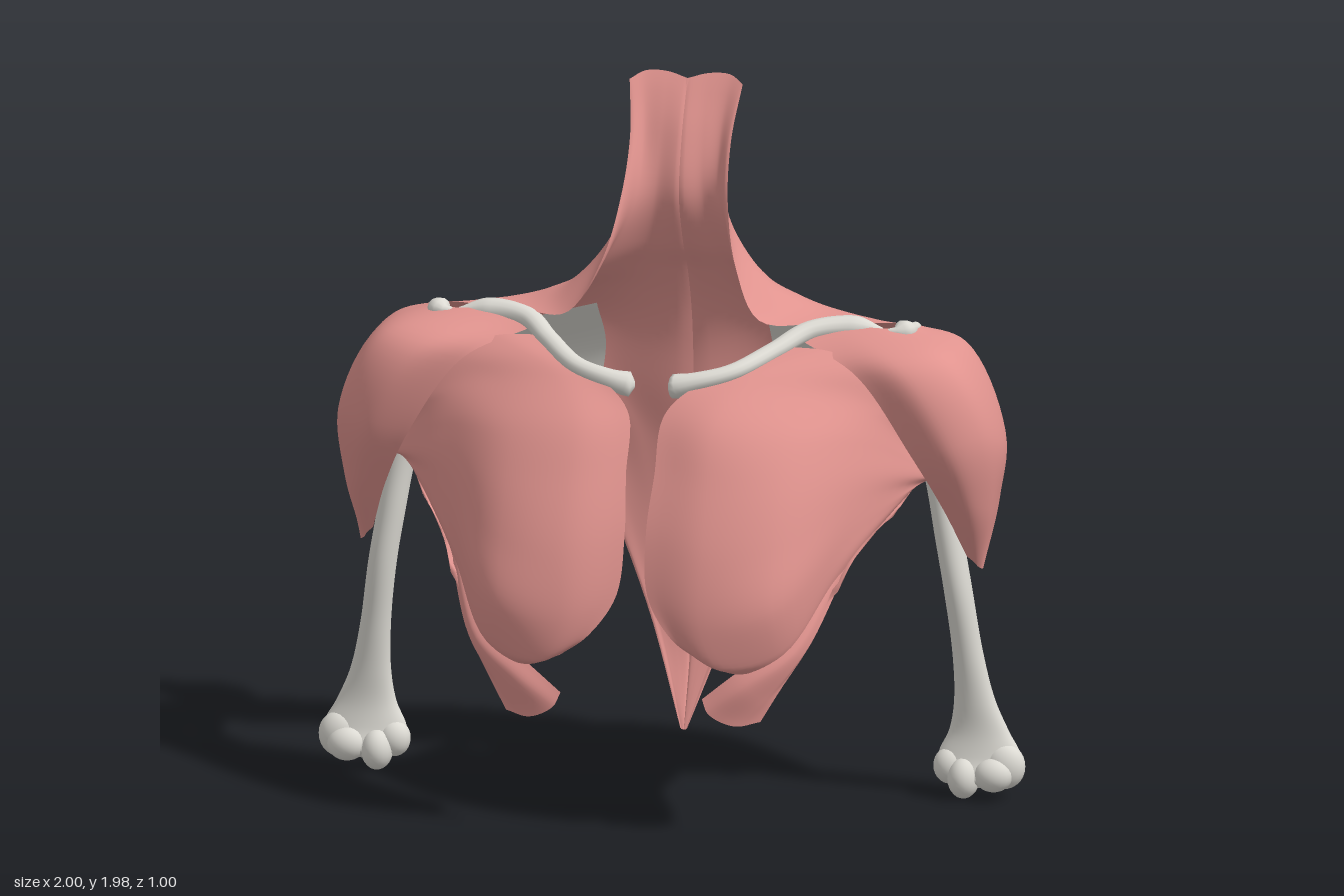
import * as THREE from 'three';
import { mergeVertices } from 'three/addons/utils/BufferGeometryUtils.js';

const muscle = new THREE.MeshStandardMaterial({ color: 0xe0938e, side: THREE.DoubleSide });
muscle.name = 'muscle red';
const bone = new THREE.MeshStandardMaterial({ color: 0xdcdad3, side: THREE.DoubleSide });
bone.name = 'bone ivory';

const spline = (pts) => new THREE.CatmullRomCurve3(pts.map((p) => (p.isVector3 ? p : new THREE.Vector3(...p))));

// Smooth sheet through rows of control points, mirrored by s = -1.
// A non-zero depth pushes it along its normals, fading out at the borders.
function sheet(rows, s, nu = 48, nv = 32, depth = 0) {
  const fibres = rows.map((r) => spline(r.map(([x, y, z]) => [x * s, y, z])));
  const pos = [], idx = [];
  for (let j = 0; j <= nv; j++) {
    const across = spline(fibres.map((f) => f.getPoint(j / nv)));
    for (let i = 0; i <= nu; i++) pos.push(...across.getPoint(i / nu).toArray());
  }
  for (let j = 0; j < nv; j++) for (let i = 0; i < nu; i++) {
    const a = j * (nu + 1) + i, b = a + 1, c = a + nu + 1, d = c + 1;
    if (s > 0) idx.push(a, b, c, b, d, c);
    else idx.push(a, c, b, b, c, d);
  }
  let g = new THREE.BufferGeometry();
  g.setAttribute('position', new THREE.Float32BufferAttribute(pos, 3));
  g.setIndex(idx);
  if (depth) {
    g.computeVertexNormals();
    const p = g.attributes.position, n = g.attributes.normal;
    for (let k = 0; k < p.count; k++) {
      const u = (k % (nu + 1)) / nu, v = Math.floor(k / (nu + 1)) / nv;
      const d = depth * Math.sqrt(Math.max(0, Math.sin(u * Math.PI) * Math.sin(v * Math.PI)));
      p.setXYZ(k, p.getX(k) + n.getX(k) * d, p.getY(k) + n.getY(k) * d, p.getZ(k) + n.getZ(k) * d);
    }
    g.deleteAttribute('normal');
  }
  g = mergeVertices(g, 1e-5);
  g.computeVertexNormals();
  return g;
}

// Upright shaft from rings [x, y, z, rx, rz]
function shaft(rings, s) {
  const rows = rings.map(([x, y, z, rx, rz]) => Array.from({ length: 17 }, (_, k) => {
    const a = (k / 16) * Math.PI * 2;
    return [x + rx * Math.cos(a), y, z + rz * Math.sin(a)];
  }));
  return sheet(rows, s, 48, 32);
}

// Round rod along points [x, y, z, radius]
function rod(pts, s, flat = 1) {
  const path = spline(pts.map(([x, y, z]) => [x * s, y, z]));
  const radii = spline(pts.map((p) => [p[3], 0, 0]));
  const n = 48, m = 12;
  let g = new THREE.TubeGeometry(path, n, 1, m);
  const p = g.attributes.position, v = new THREE.Vector3();
  for (let i = 0; i < p.count; i++) {
    const u = Math.floor(i / (m + 1)) / n;
    const c = path.getPointAt(u), r = radii.getPoint(path.getUtoTmapping(u)).x;
    v.fromBufferAttribute(p, i).sub(c).multiplyScalar(r);
    v.y *= flat;
    v.add(c);
    p.setXYZ(i, v.x, v.y, v.z);
  }
  g.deleteAttribute('uv');
  g.deleteAttribute('normal');
  g = mergeVertices(g, 1e-5);
  g.computeVertexNormals();
  return g;
}

function knob(x, y, z, rx, ry, rz, s) {
  return new THREE.SphereGeometry(1, 20, 14).scale(rx, ry, rz).translate(x * s, y, z);
}

// Fibres from the spine outwards, skull to lower back
const trapezius = [
  [[0, 1.965, -0.355], [0.06, 1.98, -0.365], [0.12, 1.98, -0.36], [0.16, 1.96, -0.335]],
  [[0, 1.82, -0.27], [0.06, 1.82, -0.29], [0.11, 1.82, -0.29], [0.143, 1.82, -0.255]],
  [[0, 1.66, -0.23], [0.07, 1.66, -0.252], [0.125, 1.66, -0.225], [0.152, 1.66, -0.16]],
  [[0, 1.51, -0.29], [0.11, 1.52, -0.29], [0.19, 1.53, -0.2], [0.19, 1.5, -0.08]],
  [[0, 1.42, -0.355], [0.16, 1.44, -0.33], [0.29, 1.42, -0.18], [0.27, 1.37, -0.01]],
  [[0, 1.3, -0.41], [0.2, 1.36, -0.385], [0.37, 1.375, -0.24], [0.42, 1.345, -0.1]],
  [[0, 1.18, -0.435], [0.25, 1.25, -0.445], [0.48, 1.315, -0.3], [0.64, 1.34, -0.17]],
  [[0, 1.0, -0.445], [0.25, 1.1, -0.48], [0.47, 1.22, -0.39], [0.66, 1.305, -0.25]],
  [[0, 0.8, -0.46], [0.16, 0.91, -0.49], [0.33, 1.03, -0.485], [0.53, 1.16, -0.395]],
  [[0, 0.55, -0.445], [0.1, 0.63, -0.47], [0.2, 0.72, -0.485], [0.3, 0.81, -0.475]],
  [[0, 0.3, -0.385], [0.04, 0.33, -0.4], [0.09, 0.38, -0.415], [0.13, 0.44, -0.42]],
  [[0, 0.11, -0.3], [0.003, 0.11, -0.3], [0.006, 0.11, -0.3], [0.01, 0.115, -0.3]],
];

// Fibres from collarbone and shoulder blade down to the arm, front to back
const deltoid = [
  [[0.38, 1.31, -0.05], [0.56, 1.235, 0.045], [0.71, 1.02, 0.05], [0.79, 0.85, -0.02], [0.84, 0.7, -0.1]],
  [[0.5, 1.34, -0.1], [0.69, 1.26, 0.065], [0.82, 1.05, 0.07], [0.86, 0.87, 0], [0.86, 0.68, -0.11]],
  [[0.62, 1.34, -0.11], [0.8, 1.275, 0], [0.905, 1.07, 0], [0.91, 0.85, -0.06], [0.87, 0.665, -0.12]],
  [[0.67, 1.34, -0.17], [0.83, 1.27, -0.14], [0.94, 1.03, -0.14], [0.92, 0.85, -0.14], [0.88, 0.66, -0.125]],
  [[0.66, 1.325, -0.23], [0.8, 1.27, -0.28], [0.9, 1.05, -0.28], [0.91, 0.85, -0.21], [0.88, 0.67, -0.14]],
  [[0.59, 1.27, -0.32], [0.72, 1.21, -0.38], [0.83, 1.03, -0.37], [0.87, 0.84, -0.25], [0.87, 0.69, -0.14]],
  [[0.42, 1.1, -0.42], [0.56, 1.03, -0.39], [0.71, 0.94, -0.34], [0.8, 0.84, -0.24], [0.86, 0.72, -0.14]],
];

// Fibres from collarbone and breastbone out to the arm, top to bottom
const pectoral = [
  [[0.35, 1.3, -0.01], [0.48, 1.29, -0.01], [0.61, 1.23, 0], [0.71, 1.1, 0], [0.79, 0.98, -0.04]],
  [[0.13, 1.225, 0.18], [0.28, 1.23, 0.15], [0.45, 1.2, 0.1], [0.62, 1.12, 0.05], [0.78, 0.96, -0.04]],
  [[0.05, 1.15, 0.24], [0.2, 1.13, 0.29], [0.4, 1.1, 0.25], [0.6, 1.06, 0.1], [0.78, 0.95, -0.03]],
  [[0.04, 1.0, 0.33], [0.2, 0.98, 0.38], [0.4, 0.97, 0.34], [0.6, 0.98, 0.14], [0.77, 0.94, -0.02]],
  [[0.03, 0.85, 0.4], [0.2, 0.8, 0.46], [0.4, 0.82, 0.41], [0.59, 0.91, 0.17], [0.75, 0.935, -0.02]],
  [[0.045, 0.68, 0.45], [0.2, 0.62, 0.5], [0.4, 0.66, 0.46], [0.57, 0.82, 0.21], [0.73, 0.93, 0]],
  [[0.12, 0.57, 0.48], [0.25, 0.5, 0.49], [0.42, 0.54, 0.42], [0.55, 0.74, 0.24], [0.72, 0.925, 0]],
  [[0.2, 0.51, 0.47], [0.3, 0.475, 0.455], [0.42, 0.51, 0.4], [0.54, 0.7, 0.24], [0.71, 0.92, -0.01]],
];

// Narrow strip under the chest muscle
const lowerSlip = [
  [[0.2, 0.4, 0.46], [0.3, 0.48, 0.445], [0.42, 0.56, 0.39], [0.55, 0.76, 0.21], [0.7, 0.925, 0]],
  [[0.22, 0.36, 0.47], [0.33, 0.44, 0.46], [0.45, 0.53, 0.4], [0.56, 0.75, 0.21], [0.705, 0.92, 0]],
  [[0.29, 0.325, 0.455], [0.37, 0.4, 0.435], [0.47, 0.52, 0.38], [0.57, 0.74, 0.2], [0.71, 0.92, 0]],
  [[0.36, 0.335, 0.43], [0.41, 0.42, 0.41], [0.49, 0.55, 0.35], [0.58, 0.76, 0.18], [0.715, 0.92, 0]],
];

// Shoulder blade from inner to outer border, top to tip
const blade = [
  [[0.24, 1.33, -0.27], [0.4, 1.29, -0.25], [0.64, 1.23, -0.17]],
  [[0.24, 1.17, -0.4], [0.43, 1.13, -0.37], [0.66, 1.1, -0.2]],
  [[0.29, 0.95, -0.44], [0.44, 0.93, -0.4], [0.58, 0.92, -0.28]],
  [[0.35, 0.76, -0.42], [0.43, 0.75, -0.405], [0.51, 0.76, -0.345]],
  [[0.41, 0.655, -0.4], [0.435, 0.65, -0.4], [0.46, 0.665, -0.385]],
];

const humerus = [
  [0.72, 1.2, -0.14, 0.07, 0.07], [0.765, 0.9, -0.115, 0.042, 0.047],
  [0.79, 0.75, -0.105, 0.04, 0.045], [0.815, 0.6, -0.105, 0.04, 0.045], [0.838, 0.42, -0.125, 0.043, 0.042],
  [0.855, 0.28, -0.14, 0.058, 0.04], [0.867, 0.19, -0.145, 0.085, 0.04], [0.87, 0.12, -0.138, 0.118, 0.044],
  [0.87, 0.06, -0.12, 0.108, 0.044], [0.87, 0.035, -0.115, 0.01, 0.01],
];

export function createModel() {
  const model = new THREE.Group();
  model.name = 'shoulderAnatomy';
  for (const [side, s] of [['left', 1], ['right', -1]]) {
    const half = new THREE.Group();
    half.name = side + 'Shoulder';
    const add = (name, geo, mat) => {
      const mesh = new THREE.Mesh(geo, mat);
      mesh.name = name;
      half.add(mesh);
    };
    // Muscles, each an outer skin with an inner one behind it
    const addMuscle = (name, rows, nu, depth) => {
      add(name, sheet(rows, s, nu, 32), muscle);
      add(name + 'Inner', sheet(rows, s, nu, 32, depth), muscle);
    };
    addMuscle('trapezius', trapezius, 66, 0.022);
    addMuscle('deltoid', deltoid, 48, 0.05);
    addMuscle('pectoral', pectoral, 48, -0.035);
    addMuscle('lowerChestSlip', lowerSlip, 18, -0.025);
    // Collarbone
    add('collarbone', rod([[0.05, 1.215, 0.155, 0.012], [0.065, 1.215, 0.16, 0.042], [0.12, 1.23, 0.165, 0.032],
      [0.22, 1.255, 0.13, 0.027], [0.32, 1.295, 0.015, 0.028], [0.4, 1.33, -0.08, 0.032],
      [0.51, 1.335, -0.125, 0.038], [0.6, 1.33, -0.115, 0.01]], s, 0.85), bone);
    // Shoulder blade
    add('shoulderBlade', sheet(blade, s), bone);
    add('shoulderBladeSpine', rod([[0.6, 1.33, -0.11, 0.006], [0.64, 1.33, -0.11, 0.017], [0.675, 1.33, -0.16, 0.017],
      [0.67, 1.318, -0.22, 0.016], [0.63, 1.28, -0.27, 0.015], [0.5, 1.17, -0.35, 0.016], [0.36, 1.06, -0.41, 0.006]], s, 0.9), bone);
    add('coracoid', rod([[0.55, 1.22, -0.2, 0.03], [0.53, 1.26, -0.13, 0.03], [0.57, 1.21, -0.06, 0.012]], s), bone);
    // Upper arm bone
    add('humerus', shaft(humerus, s), bone);
    add('humerusHead', knob(0.71, 1.18, -0.14, 0.1, 0.1, 0.1, s), bone);
    add('outerCondyle', knob(0.94, 0.095, -0.13, 0.06, 0.065, 0.046, s), bone);
    add('capitulum', knob(0.915, 0.075, -0.1, 0.055, 0.048, 0.045, s), bone);
    add('trochlea', knob(0.83, 0.062, -0.105, 0.045, 0.058, 0.052, s), bone);
    add('innerCondyle', knob(0.787, 0.09, -0.13, 0.047, 0.052, 0.045, s), bone);
    model.add(half);
  }
  return model;
}
